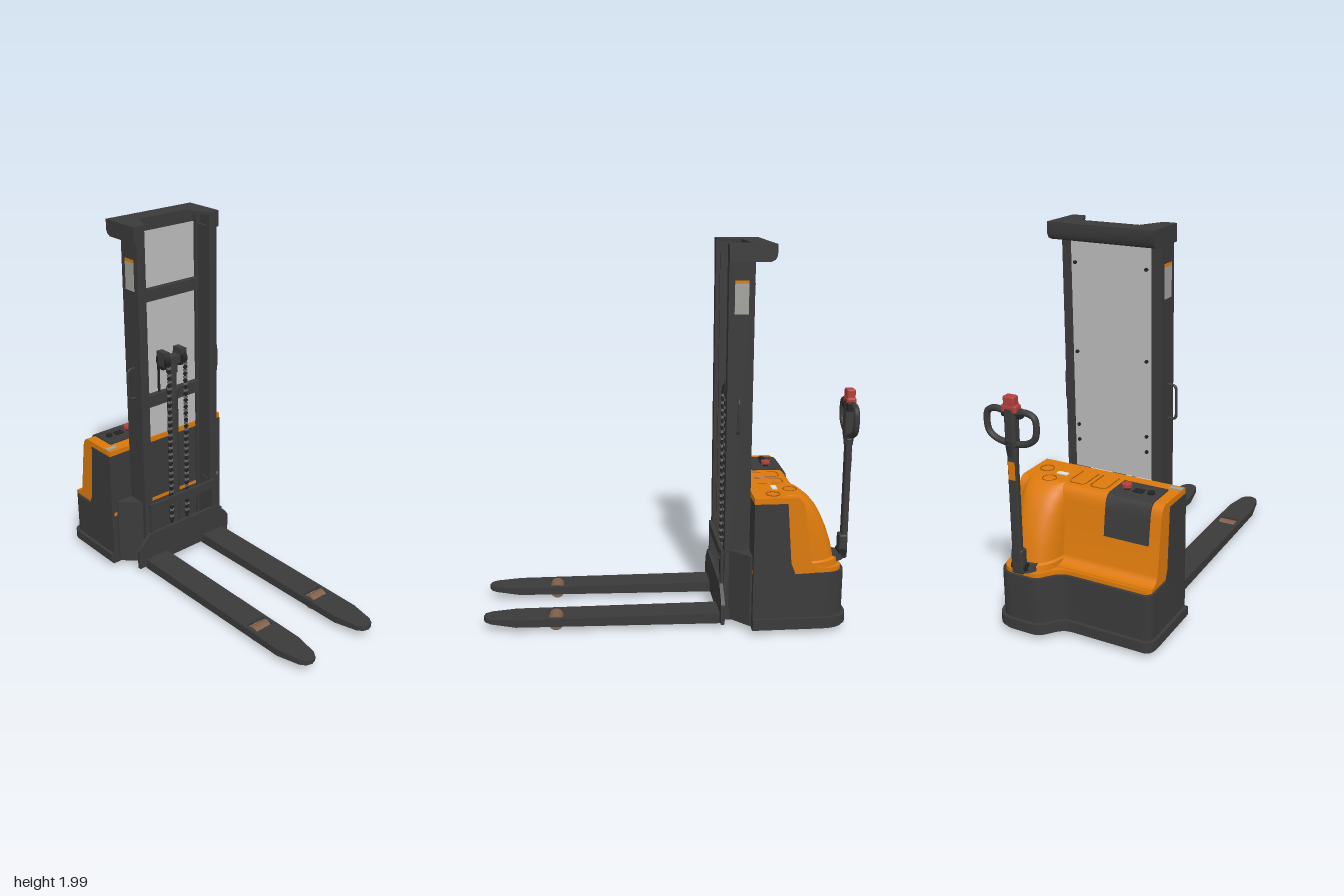
import * as THREE from 'three';
import { toCreasedNormals } from 'three/addons/utils/BufferGeometryUtils.js';
import { RoundedBoxGeometry } from 'three/addons/geometries/RoundedBoxGeometry.js';

const mat = (name, color, side = THREE.FrontSide) => {
  const m = new THREE.MeshStandardMaterial({ color, side });
  m.name = name;
  return m;
};

export function createModel() {
  const dark = mat('charcoal paint', 0x3b3b3b);
  const black = mat('black rubber', 0x242424);
  const orange = mat('orange cover', 0xdd7a0c);
  const grooves = mat('cover groove', 0xa85a08);
  const glass = mat('grey screen', 0xbcbcbc, THREE.DoubleSide);
  const label = mat('label grey', 0xa3a39e);
  const white = mat('label white', 0xe4e4e4);
  const red = mat('red switch', 0xb2403c);
  const brown = mat('roller brown', 0x80604a);
  const steel = mat('chain steel', 0x6a6a6a);

  const root = new THREE.Group();
  const add = (name, geo, material, x = 0, y = 0, z = 0, parent = root) => {
    const m = new THREE.Mesh(geo, material);
    m.name = name;
    m.position.set(x, y, z);
    parent.add(m);
    return m;
  };
  // box given by its limits
  const box = (name, material, x0, x1, y0, y1, z0, z1) =>
    add(name, new THREE.BoxGeometry(x1 - x0, y1 - y0, Math.abs(z1 - z0)), material, (x0 + x1) / 2, (y0 + y1) / 2, (z0 + z1) / 2);
  const cyl = (name, material, r, h, x, y, z, axis = 'y', n = 24) => {
    const g = new THREE.CylinderGeometry(r, r, h, n);
    if (axis === 'x') g.rotateZ(Math.PI / 2);
    if (axis === 'z') g.rotateX(Math.PI / 2);
    return add(name, g, material, x, y, z);
  };
  const poly = (pts) => new THREE.Shape(pts.map(([a, b]) => new THREE.Vector2(a, b)));
  const opts = (depth) => ({ depth, bevelEnabled: false, curveSegments: 10 });
  // plan outline (x, -z) raised from y0 to y1
  const plan = (shape, y0, y1) => toCreasedNormals(
    new THREE.ExtrudeGeometry(shape, opts(y1 - y0)).rotateX(-Math.PI / 2).translate(0, y0, 0), 0.6);
  // side profile (-z, y) stretched from x0 to x1
  const side = (shape, x0, x1) => toCreasedNormals(
    new THREE.ExtrudeGeometry(shape, opts(x1 - x0)).rotateY(Math.PI / 2).translate(x0, 0, 0), 0.6);

  // ---- chassis: stepped plan with a rounded bay behind the tiller
  const footprint = (d) => {
    const s = new THREE.Shape();
    s.moveTo(-0.41 + d, 0.43);
    s.lineTo(0.41 - d, 0.43);
    s.lineTo(0.41 - d, 0.8);
    s.quadraticCurveTo(0.405 - d, 0.925 - d, 0.31, 0.925 - d);
    s.lineTo(0.2, 0.925 - d);
    s.bezierCurveTo(0.11 + d, 0.925 - d, 0.12 + d, 0.82 - d, 0.03, 0.82 - d);
    s.lineTo(-0.36, 0.82 - d);
    s.quadraticCurveTo(-0.41 + d, 0.82 - d, -0.41 + d, 0.76);
    return s;
  };
  add('lowerBody', plan(footprint(0.01), 0.09, 0.34), dark);
  add('bumperSkirt', plan(footprint(-0.008), 0.05, 0.1), dark);
  add('bumperBase', plan(footprint(0.005), 0.035, 0.05), dark);
  add('coverLedge', plan(footprint(0.025), 0.34, 0.362), orange);
  add('batteryHousing', side(poly([[0.43, 0.3], [0.65, 0.3], [0.645, 0.35], [0.625, 0.4], [0.6, 0.72], [0.43, 0.72]]), -0.4, 0.4), dark);

  // ---- orange rear cover
  const cover = new THREE.Shape();
  cover.moveTo(0.43, 0.72);
  cover.lineTo(0.58, 0.72);
  cover.lineTo(0.6, 0.35);
  cover.lineTo(0.79, 0.35);
  cover.lineTo(0.785, 0.37);
  cover.quadraticCurveTo(0.735, 0.37, 0.727, 0.42);
  cover.lineTo(0.69, 0.68);
  cover.quadraticCurveTo(0.68, 0.75, 0.64, 0.75);
  cover.lineTo(0.43, 0.75);
  add('rearCover', side(cover, -0.397, 0.397), orange);

  // drive motor hood: half-round sections, narrowing upward
  const levels = [[0.34, 0.145, -0.9], [0.392, 0.145, -0.888], [0.4, 0.138, -0.868], [0.47, 0.137, -0.852], [0.55, 0.135, -0.826],
    [0.62, 0.132, -0.795], [0.67, 0.13, -0.768], [0.71, 0.126, -0.735], [0.738, 0.12, -0.7], [0.752, 0.11, -0.68]];
  const N = 24, pos = [], idx = [];
  for (const [y, hw, zb] of levels) for (let i = 0; i <= N; i++) {
    const a = Math.PI * i / N, c = Math.cos(a);
    pos.push(0.252 + hw * Math.sign(c) * Math.abs(c) ** 0.75, y, -0.6 + (zb + 0.6) * Math.sin(a) ** 0.75);
  }
  for (let l = 0; l < levels.length - 1; l++) for (let i = 0; i < N; i++) {
    const a = l * (N + 1) + i, b = a + N + 1;
    idx.push(a, a + 1, b, a + 1, b + 1, b);
  }
  const top = (levels.length - 1) * (N + 1);
  for (let i = 1; i < N; i++) idx.push(top, top + i, top + i + 1);
  const hood = new THREE.BufferGeometry();
  hood.setAttribute('position', new THREE.Float32BufferAttribute(pos, 3));
  hood.setIndex(idx);
  add('motorHood', toCreasedNormals(hood, 0.7), orange);

  // storage pockets and cup rings on the cover
  for (const [x, z] of [[0.25, -0.635], [0.325, -0.535]])
    add('cupRing', new THREE.TorusGeometry(0.035, 0.003, 6, 28).rotateX(Math.PI / 2), grooves, x, 0.752, z);
  for (const x of [-0.018, 0.1]) {
    const path = new THREE.CatmullRomCurve3([[-0.045, 0.07], [-0.045, -0.05], [-0.03, -0.07], [0.03, -0.07], [0.045, -0.05], [0.045, 0.07]]
      .map(([a, b]) => new THREE.Vector3(a, 0, b)), false, 'catmullrom', 0.2);
    add('pocketRim', new THREE.TubeGeometry(path, 40, 0.003, 6), grooves, x, 0.751, -0.555);
  }
  box('topLabel', white, 0.19, 0.25, 0.75, 0.755, -0.545, -0.572);
  box('cornerLabel', label, -0.395, -0.33, 0.75, 0.755, -0.45, -0.475);

  // control panel wrapping over the cover edge
  add('controlPanel', side(poly([[0.5, 0.74], [0.62, 0.74], [0.67, 0.71], [0.69, 0.55], [0.714, 0.55], [0.697, 0.68],
    [0.686, 0.73], [0.668, 0.752], [0.64, 0.757], [0.5, 0.757]]), -0.34, -0.1), dark);
  cyl('stopButtonStem', black, 0.014, 0.02, -0.16, 0.765, -0.585);
  cyl('stopButton', red, 0.025, 0.016, -0.16, 0.778, -0.585);
  cyl('keySwitch', black, 0.018, 0.014, -0.29, 0.763, -0.585);
  box('chargeGauge', black, -0.25, -0.2, 0.755, 0.763, -0.565, -0.605);

  // ---- wheels under the chassis
  for (const [x, z] of [[0.22, -0.755], [-0.22, -0.62]]) {
    cyl('floorWheel', black, 0.06, 0.07, x, 0.07, z, 'x', 32);
    cyl('wheelHub', label, 0.03, 0.074, x, 0.07, z, 'x');
  }

  // ---- mast
  for (const s of [-1, 1]) {
    const X = (a, b) => (s > 0 ? [a, b] : [-b, -a]);
    box('mastWeb', dark, ...X(0.246, 0.264), 0.04, 1.99, -0.3, -0.43);
    for (const z of [-0.3, -0.413]) box('mastFlange', dark, ...X(0.212, 0.25), 0.04, 1.99, z, z - 0.017);
    box('innerRail', dark, ...X(0.22, 0.236), 0.06, 1.92, -0.325, -0.405);
    box('sideLabel', label, ...X(0.262, 0.267), 1.66, 1.81, -0.33, -0.4);
    box('sideLabelStripe', orange, ...X(0.262, 0.267), 1.81, 1.825, -0.33, -0.4);
    add('mastGusset', plan(poly(s > 0 ? [[0.25, 0.31], [0.28, 0.34], [0.365, 0.42], [0.365, 0.45], [0.25, 0.45]]
      : [[-0.25, 0.45], [-0.365, 0.45], [-0.365, 0.42], [-0.28, 0.34], [-0.25, 0.31]]), 0.045, 0.43), dark);
    const grab = new THREE.CatmullRomCurve3([[0.255, 1.235], [0.295, 1.233], [0.307, 1.215], [0.307, 1.08], [0.295, 1.065], [0.255, 1.063]]
      .map(([x, y]) => new THREE.Vector3(s * x, y, -0.355)), false, 'catmullrom', 0.2);
    add('grabHandle', new THREE.TubeGeometry(grab, 40, 0.007, 8), dark);
    add('mastCapSide', side(poly([[0.3, 1.915], [0.505, 1.915], [0.525, 1.925], [0.535, 1.945], [0.535, 2], [0.3, 2]]), ...X(0.264, 0.278)), dark);
    for (const y of [0.9, 0.98, 1.36, 1.8]) cyl('screenBolt', black, 0.009, 0.012, s * 0.19, y, -0.437, 'z', 10);
  }
  add('mastCapPlate', plan(poly([[-0.27, 0.3], [-0.21, 0.3], [-0.15, 0.425], [0.15, 0.425], [0.21, 0.3], [0.27, 0.3], [0.27, 0.535], [-0.27, 0.535]]), 1.985, 2), dark);
  add('mastCapBack', side(poly([[0.43, 1.93], [0.505, 1.915], [0.525, 1.925], [0.535, 1.945], [0.535, 1.99], [0.43, 1.99]]), -0.27, 0.27), dark);
  for (const [y0, y1] of [[1.56, 1.625], [0.952, 1.02]]) box('mastCrossbar', dark, -0.215, 0.215, y0, y1, -0.395, -0.428);
  box('mastFoot', dark, -0.27, 0.27, 0.04, 0.1, -0.31, -0.44);
  box('guardScreen', glass, -0.212, 0.212, 0.755, 1.93, -0.429, -0.435);

  // ---- lift cylinder, sheaves and chains
  cyl('liftCylinder', dark, 0.031, 0.98, 0, 0.55, -0.37);
  cyl('cylinderCollar', dark, 0.036, 0.03, 0, 1.03, -0.37);
  cyl('liftRod', dark, 0.024, 0.12, 0, 1.09, -0.37);
  box('sheaveYoke', dark, -0.075, 0.075, 1.19, 1.235, -0.345, -0.395);
  cyl('yokeCollar', dark, 0.032, 0.05, 0, 1.165, -0.37);
  for (const s of [-1, 1]) {
    cyl('chainSheave', black, 0.048, 0.03, s * 0.057, 1.215, -0.37, 'x');
    box('sheaveGuard', dark, s * 0.057 - 0.018, s * 0.057 + 0.018, 1.235, 1.27, -0.335, -0.405);
    for (const z of [-0.324, -0.416]) box('chainCore', black, s * 0.057 - 0.006, s * 0.057 + 0.006, z < -0.4 ? 0.95 : 0.12, 1.22, z + 0.004, z - 0.004);
    for (let i = 0; i < 48; i++) box('chainLink', i % 2 ? steel : black, s * 0.057 - 0.011, s * 0.057 + 0.011, 0.24 + i * 0.02, 0.252 + i * 0.02, -0.318, -0.33);
  }

  // ---- fork carriage
  add('carriagePlate', new THREE.ExtrudeGeometry(poly([[-0.33, 0.04], [0.33, 0.04], [0.33, 0.15], [0.31, 0.18], [0.25, 0.238], [-0.25, 0.238],
    [-0.31, 0.18], [-0.33, 0.15]]), opts(0.02)), dark, 0, 0, -0.297);
  box('carriageCrossbar', dark, -0.214, 0.214, 0.368, 0.418, -0.282, -0.3);
  for (const s of [-1, 1]) box('carriageUpright', dark, s * 0.225 - 0.012, s * 0.225 + 0.012, 0.1, 0.418, -0.284, -0.38);

  // ---- forks: inverted channels with a raised tip and a load roller
  const forkOutline = (d) => poly([[-0.075 + d, 0.285 - d], [-0.075 + d, -0.79], [-0.05 + d * 0.8, -0.92 + d], [-0.03 + d * 0.5, -0.95 + d], [0, -0.96 + d],
    [0.03 - d * 0.5, -0.95 + d], [0.05 - d * 0.8, -0.92 + d], [0.075 - d, -0.79], [0.075 - d, 0.285 - d]]);
  const raiseTip = (g) => {
    const p = g.attributes.position;
    for (let i = 0; i < p.count; i++) if (p.getY(i) < 0.05 && p.getZ(i) > 0.6) p.setY(i, 0.027 + (p.getZ(i) - 0.6) * 0.09);
    g.computeVertexNormals();
    return g;
  };
  for (const s of [-1, 1]) {
    const plate = forkOutline(0);
    plate.holes.push(poly([[-0.053, -0.545], [0.053, -0.545], [0.053, -0.62], [-0.053, -0.62]]));
    add('forkTop', plan(plate, 0.068, 0.084), dark, s * 0.208);
    const rim = forkOutline(0);
    rim.holes.push(forkOutline(0.014));
    add('forkWalls', raiseTip(plan(rim, 0.027, 0.068)), dark, s * 0.208);
    cyl('loadRoller', brown, 0.039, 0.098, s * 0.208, 0.049, 0.583, 'x', 32);
    cyl('rollerAxle', dark, 0.01, 0.14, s * 0.208, 0.049, 0.583, 'x', 12);
  }

  // ---- tiller
  const tiller = new THREE.Group();
  tiller.name = 'tiller';
  tiller.position.set(0.248, 0, -0.933);
  root.add(tiller);
  const t = (name, geo, m, x, y, z) => add(name, geo, m, x, y, z, tiller);
  t('tillerPivot', new THREE.CylinderGeometry(0.06, 0.065, 0.03, 28), dark, 0, 0.385, 0.065);
  t('tillerBracket', new RoundedBoxGeometry(0.065, 0.13, 0.045, 2, 0.01), dark, 0, 0.435, 0.008);
  t('tillerHinge', new THREE.CylinderGeometry(0.02, 0.02, 0.08, 20).rotateZ(Math.PI / 2), black, 0, 0.405, 0.012);
  t('tillerArm', new RoundedBoxGeometry(0.05, 0.58, 0.032, 2, 0.008), dark, 0, 0.73, 0);
  t('tillerLabel', new THREE.BoxGeometry(0.036, 0.09, 0.004), orange, 0, 0.91, -0.0165);
  t('tillerNeck', new THREE.CylinderGeometry(0.036, 0.026, 0.08, 4).rotateY(Math.PI / 4), dark, 0, 1.02, 0);
  t('tillerHead', new RoundedBoxGeometry(0.058, 0.2, 0.052, 3, 0.014), dark, 0, 1.125, 0.002);
  t('switchHousing', new RoundedBoxGeometry(0.085, 0.04, 0.05, 2, 0.01), red, 0, 1.215, 0.002);
  t('bellySwitch', new RoundedBoxGeometry(0.062, 0.05, 0.046, 2, 0.01), red, 0, 1.252, 0.002);
  for (const s of [-1, 1]) {
    const loop = new THREE.CatmullRomCurve3([[0.015, 1.195], [0.09, 1.203], [0.127, 1.185], [0.136, 1.14], [0.125, 1.085], [0.085, 1.055], [0.015, 1.04]]
      .map(([x, y]) => new THREE.Vector3(s * x, y, 0)));
    t('tillerGrip', new THREE.TubeGeometry(loop, 48, 0.016, 10), dark, 0, 0, 0);
    t('thumbLever', new RoundedBoxGeometry(0.03, 0.045, 0.03, 2, 0.006), black, s * 0.04, 1.19, 0.012);
  }
  return root;
}
